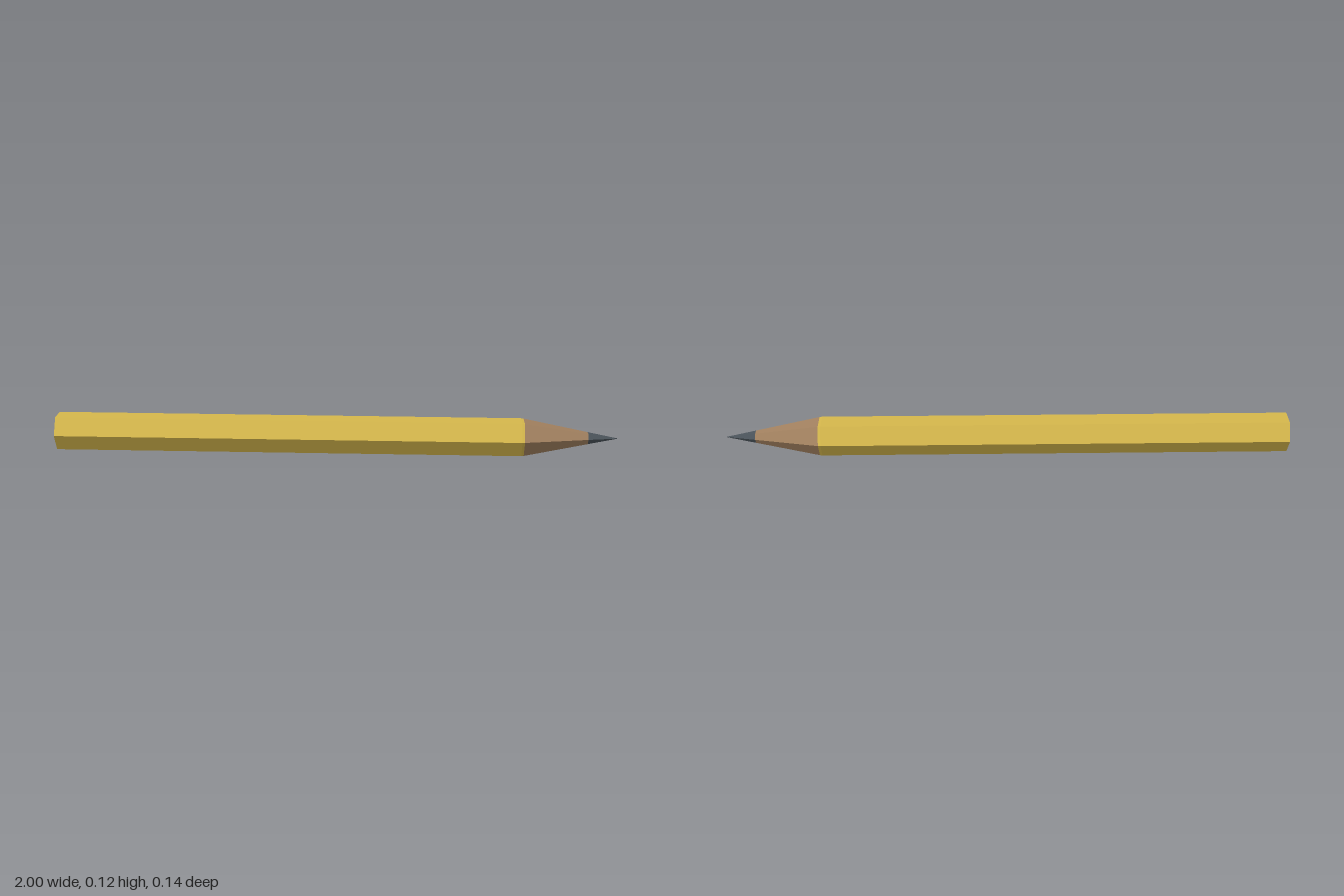
import * as THREE from 'three';

const RADIUS = 0.069;
const AXIS_Y = RADIUS * Math.sqrt(3) / 2;

function material(name, color) {
  const m = new THREE.MeshStandardMaterial({ color, flatShading: true });
  m.name = name;
  return m;
}

// Six-sided section along x, running from x0 (radius r0) to x1 (radius r1)
function hexSection(name, x0, r0, x1, r1, mat, open = true) {
  const geometry = new THREE.CylinderGeometry(r1, r0, x1 - x0, 6, 1, open);
  geometry.rotateZ(-Math.PI / 2);
  const mesh = new THREE.Mesh(geometry, mat);
  mesh.name = name;
  mesh.position.set((x0 + x1) / 2, AXIS_Y, 0);
  return mesh;
}

export function createModel() {
  const paint = material('yellow paint', 0xd6b84c);
  const wood = material('bare wood', 0xa38260);
  const graphite = material('graphite', 0x4c555c);

  const pencil = new THREE.Group();
  pencil.name = 'pencil';

  const shoulderX = 0.658, woodX = 0.667, leadX = 0.893;
  const woodRadius = 0.068;
  const leadRadius = woodRadius * (1 - leadX) / (1 - woodX);

  pencil.add(
    // Painted barrel with a closed flat end
    hexSection('barrel', -1, RADIUS, shoulderX, RADIUS, paint, false),
    // Narrow bevel where the paint meets the sharpened wood
    hexSection('barrelBevel', shoulderX, RADIUS, woodX, woodRadius, paint),
    // Sharpened cone and lead point
    hexSection('sharpenedWood', woodX, woodRadius, leadX, leadRadius, wood),
    hexSection('leadTip', leadX, leadRadius, 1, 0, graphite)
  );
  return pencil;
}
